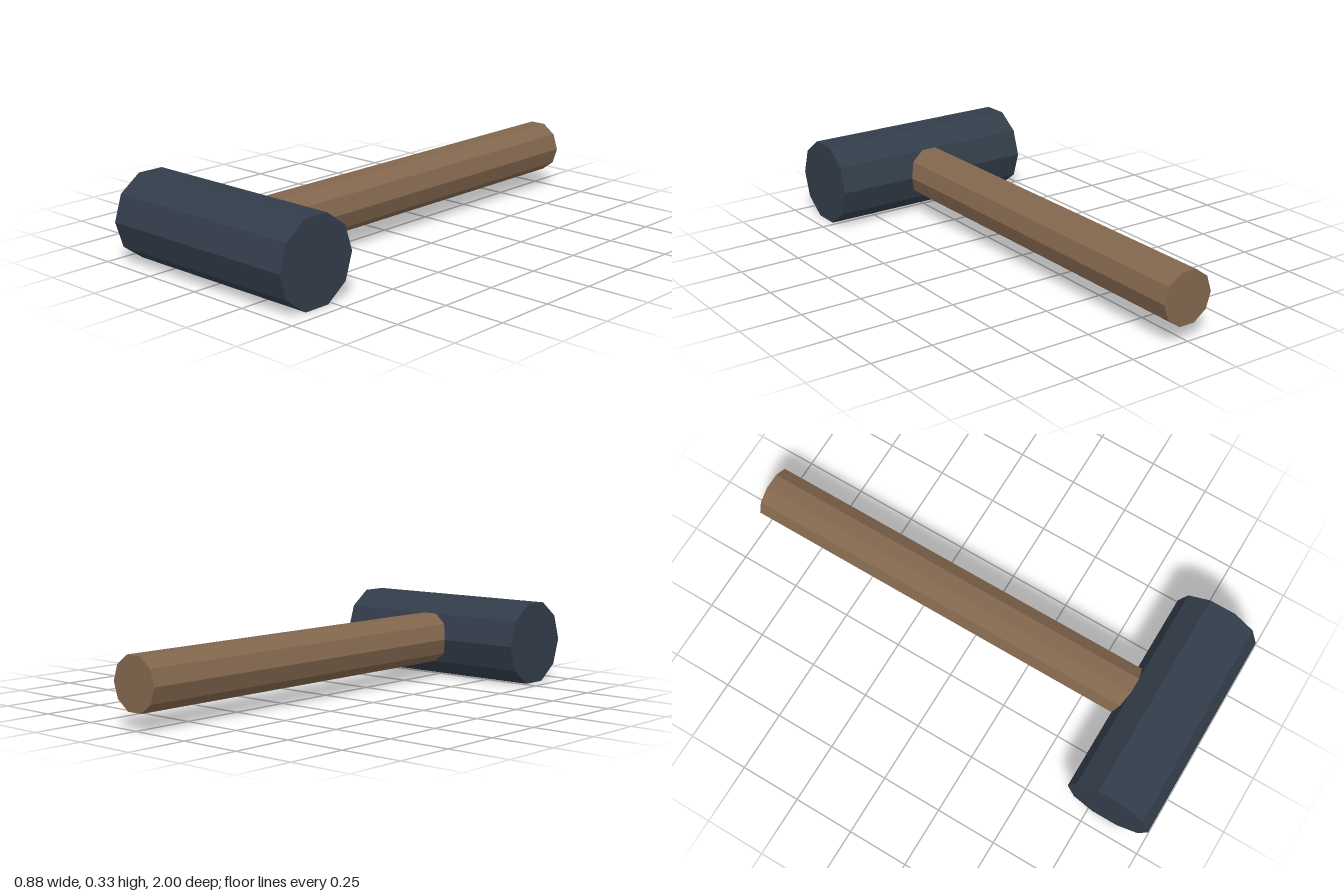
import * as THREE from 'three';

const SIDES = 10;
const AXIS_Y = 0.167;

export function createModel() {
  const model = new THREE.Group();
  model.name = 'mallet';

  const iron = new THREE.MeshStandardMaterial({ color: 0x323d4a, flatShading: true });
  iron.name = 'dark iron';
  const wood = new THREE.MeshStandardMaterial({ color: 0x83674e, flatShading: true });
  wood.name = 'brown wood';

  // Head: ten-sided bar lying along x, flat on the ground
  const headGeometry = new THREE.CylinderGeometry(0.176, 0.176, 0.884, SIDES);
  headGeometry.rotateZ(Math.PI / 2);
  const head = new THREE.Mesh(headGeometry, iron);
  head.name = 'head';
  head.position.set(0, AXIS_Y, 0.824);

  // Handle: ten-sided shaft running back along z, its front end buried in the head
  const backEnd = -1, frontEnd = 0.8;
  const handleGeometry = new THREE.CylinderGeometry(
    0.108, 0.108, frontEnd - backEnd, SIDES, 1, false, Math.PI / 2);
  handleGeometry.rotateX(Math.PI / 2);
  const handle = new THREE.Mesh(handleGeometry, wood);
  handle.name = 'handle';
  handle.position.set(0.007, AXIS_Y + 0.001, (frontEnd + backEnd) / 2);

  model.add(head, handle);
  return model;
}
